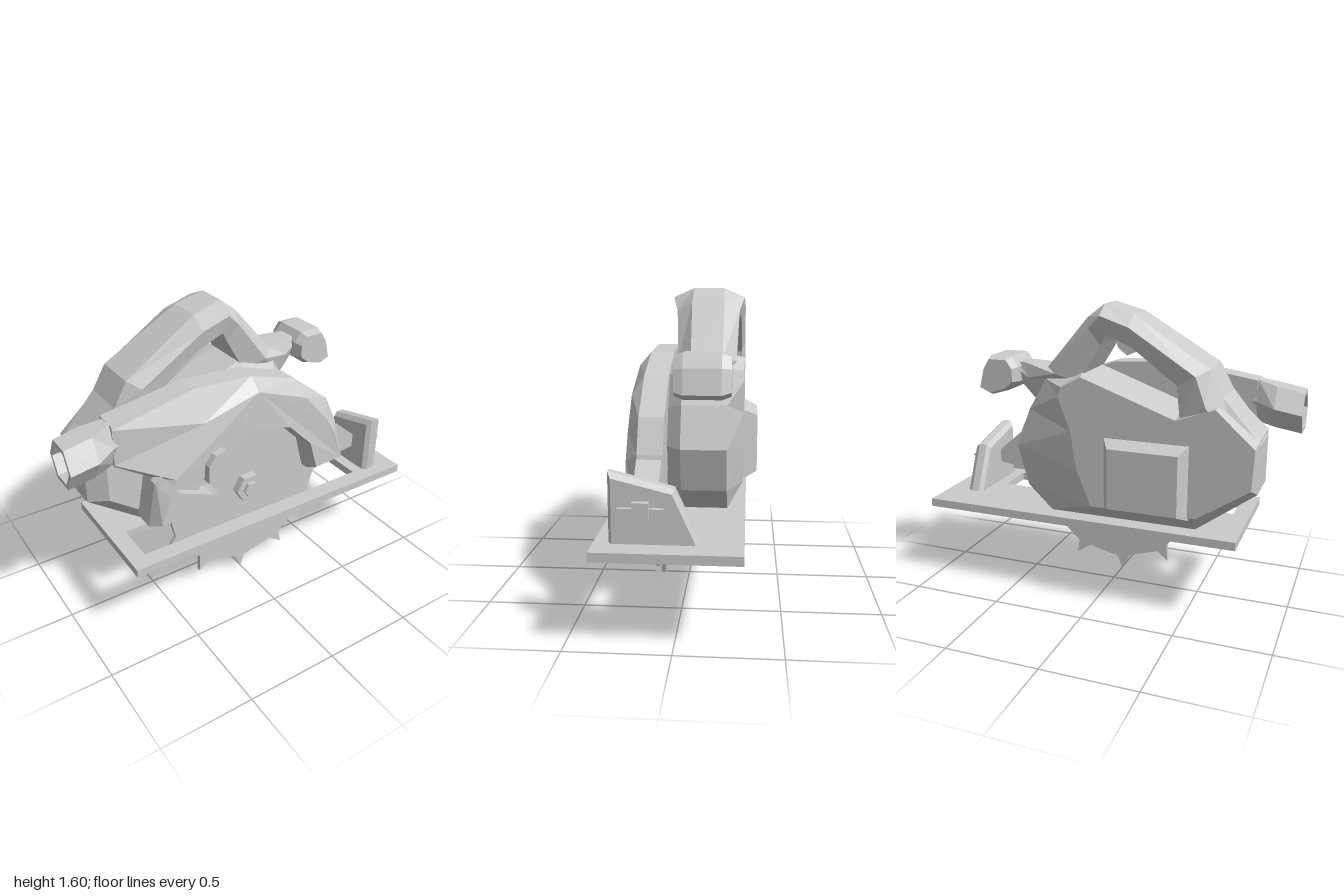
import * as THREE from 'three';

const grey = new THREE.MeshStandardMaterial({ color: 0xcccccc, flatShading: true, side: THREE.DoubleSide });

// Joins rings of equal point count; optional caps triangulated in xy
function skin(rings, capped = true) {
  const pos = [], n = rings[0].length;
  const tri = (a, b, c) => pos.push(...a, ...b, ...c);
  for (let r = 0; r < rings.length - 1; r++) {
    for (let i = 0; i < n; i++) {
      const j = (i + 1) % n, a = rings[r], b = rings[r + 1];
      tri(a[i], a[j], b[j]);
      tri(a[i], b[j], b[i]);
    }
  }
  if (capped) {
    [rings[0], rings[rings.length - 1]].forEach((ring, end) => {
      const flat = ring.map(p => new THREE.Vector2(p[0], p[1]));
      for (const [a, b, c] of THREE.ShapeUtils.triangulateShape(flat, [])) {
        if (end) tri(ring[a], ring[b], ring[c]); else tri(ring[a], ring[c], ring[b]);
      }
    });
  }
  // Turn inside-out results around using the signed volume
  const o = new THREE.Vector3(...rings[0][0]);
  const v = k => new THREE.Vector3(pos[k], pos[k + 1], pos[k + 2]).sub(o);
  let volume = 0;
  for (let k = 0; k < pos.length; k += 9) volume += v(k).dot(v(k + 3).cross(v(k + 6)));
  if (volume < 0) {
    for (let k = 0; k < pos.length; k += 9) {
      for (let m = 0; m < 3; m++) [pos[k + 3 + m], pos[k + 6 + m]] = [pos[k + 6 + m], pos[k + 3 + m]];
    }
  }
  const g = new THREE.BufferGeometry();
  g.setAttribute('position', new THREE.Float32BufferAttribute(pos, 3));
  g.computeVertexNormals();
  return g;
}

// Puts an xy outline at depth z (a point may carry its own z)
const at = (outline, z) => outline.map(p => [p[0], p[1], p[2] ?? z]);
// Shrinks an outline towards a centre
const shrink = (outline, cx, cy, s) => outline.map(([x, y]) => [cx + (x - cx) * s, cy + (y - cy) * s]);

function extrude(points, z0, z1, holes = []) {
  const shape = new THREE.Shape(points.map(p => new THREE.Vector2(...p)));
  holes.forEach(h => shape.holes.push(new THREE.Path(h.map(p => new THREE.Vector2(...p)))));
  return new THREE.ExtrudeGeometry(shape, { depth: z1 - z0, bevelEnabled: false }).translate(0, 0, z0);
}

const rect = (x0, y0, x1, y1) => [[x0, y0], [x1, y0], [x1, y1], [x0, y1]];

export function createModel() {
  const model = new THREE.Group();
  const add = (name, geometry) => {
    const mesh = new THREE.Mesh(geometry, grey);
    mesh.name = name;
    model.add(mesh);
    return mesh;
  };
  const cx = 0.03, cy = 0.57;
  const polar = (deg, r) => [cx + r * Math.cos(deg * Math.PI / 180), cy + r * Math.sin(deg * Math.PI / 180)];

  // Base plate with the blade slot
  add('basePlate', extrude(rect(-0.76, -0.37, 1, 0.315), 0.425, 0.47, [rect(-0.67, -0.28, 0.72, -0.06)])
    .rotateX(-Math.PI / 2));

  // Toothed blade
  const teeth = [];
  for (let k = 0; k < 12; k++) {
    const a = -93 + 30 * k;
    teeth.push(polar(a - 6, 0.485), polar(a, 0.57), polar(a + 2.5, 0.495));
  }
  add('blade', extrude(teeth, 0.135, 0.16));
  for (const [name, r, z] of [['bladeWasher', 0.085, 0.18], ['bladeBolt', 0.047, 0.2]]) {
    add(name, new THREE.CylinderGeometry(r, r, 0.05, 6).rotateX(Math.PI / 2).rotateZ(Math.PI / 6 * 3 - Math.PI / 2)
      .rotateZ(Math.PI / 6).translate(cx, cy, z));
  }

  // Upper blade guard: chamfered arch over the blade
  const arch = (r, y) => [180, 150, 120, 90, 60, 30, 0].map(d => {
    const p = polar(d, r);
    return [p[0], Math.max(p[1], y)];
  });
  const outer = [[0.68, 0.57], [0.61, 0.82], [0.53, 0.99], [0.3, 1.17], [0.02, 1.26], [-0.32, 1.28],
    [-0.76, 1.21], [-0.76, 0.99], [-0.55, 0.85], [-0.6, 0.57]];
  const front = [[0.63, 0.6, 0.26], [0.56, 0.78, 0.265], [0.49, 0.9, 0.265], [0.34, 1.07, 0.265], [0.03, 1.19, 0.265],
    [-0.3, 1.12, 0.28], [-0.76, 1.19, 0.21], [-0.76, 1.0, 0.21], [-0.47, 0.85, 0.28], [-0.56, 0.6, 0.28]];
  add('bladeGuard', skin([
    at([...outer, ...arch(0.39, 0.57)], 0.08),
    at([...outer, ...arch(0.39, 0.57)], 0.205),
    at([...front, ...arch(0.41, 0.6)], 0.27),
  ]));
  add('guardBack', extrude(arch(0.44, 0.57).reverse(), 0.085, 0.12));

  // Hollow six-sided dust outlet
  const hex = (x, y, hy, hz) => [[1, 0], [0.5, 1], [-0.5, 1], [-1, 0], [-0.5, -1], [0.5, -1]]
    .map(([a, b]) => [x, y + b * hy, 0.147 + a * hz]);
  add('dustOutlet', skin([hex(-0.7, 1.1, 0.1, 0.06), hex(-0.76, 1.1, 0.108, 0.075), hex(-0.86, 1.08, 0.107, 0.13),
    hex(-1, 1.055, 0.105, 0.125), hex(-1, 1.055, 0.083, 0.1), hex(-0.8, 1.08, 0.083, 0.09),
    hex(-0.8, 1.08, 0.001, 0.001)], false));

  // Motor housing, built in slices from back to front
  const housing = [[-0.84, 0.98], [-0.84, 0.7], [-0.53, 0.47], [0.28, 0.47], [0.42, 0.6], [0.48, 0.82],
    [0.4, 1.03], [0.3, 1.2], [0.09, 1.26], [-0.43, 1.07], [-0.65, 1.15]];
  const backFace = [[-0.83, 0.95], [-0.82, 0.74], [-0.55, 0.56], [0.02, 0.55], [0.1, 0.75], [0.13, 0.95],
    [0.2, 1.13], [0.18, 1.18], [0.07, 1.24], [-0.43, 1.06], [-0.63, 1.13]];
  add('motorHousing', skin([at(backFace, -0.3), at(housing, -0.22), at(housing, 0.01),
    at(shrink(housing, -0.1, 0.85, 0.88), 0.085)]));

  // Raised panel on the back of the motor
  add('motorPanel', skin([at(rect(-0.47, 0.58, -0.1, 0.9), -0.375), at(rect(-0.51, 0.54, -0.05, 0.94), -0.29)]));

  // Handle loop: outer x, y, inner x, y, back z, front z, chamfer
  const stations = [
    [-0.845, 0.96, -0.6, 0.82, -0.29, 0.02, 0.05], [-0.65, 1.18, -0.45, 1.05, -0.3, 0.07, 0.06],
    [-0.58, 1.31, -0.43, 1.23, -0.3, 0.08, 0.07], [-0.18, 1.555, -0.2, 1.4, -0.3, 0.085, 0.1],
    [-0.02, 1.6, -0.06, 1.46, -0.295, 0.085, 0.11], [0.07, 1.53, -0.02, 1.4, -0.27, 0.06, 0.08],
    [0.3, 1.26, 0.1, 1.2, -0.26, 0.04, 0.07], [0.44, 1.27, 0.36, 1.06, -0.2, -0.02, 0.03],
    [0.5, 1.27, 0.48, 1.16, -0.17, -0.05, 0.02],
  ];
  add('handle', skin(stations.map(([ox, oy, ix, iy, z0, z1, c]) => {
    const mx = ox + (ix - ox) * 0.35, my = oy + (iy - oy) * 0.35;
    return [[ox, oy, z0 + c], [ox, oy, z1 - c], [mx, my, z1], [ix, iy, z1 - 0.02], [ix, iy, z0 + 0.02], [mx, my, z0]];
  }), false));
  add('trigger', extrude([[-0.2, 1.37], [-0.13, 1.34], [-0.08, 1.38], [-0.06, 1.47], [-0.2, 1.46]], -0.16, -0.05));

  // Front grip knob
  const knob = [[0.7, 1.12], [0.67, 1.24], [0.63, 1.305], [0.51, 1.305], [0.47, 1.25], [0.47, 1.17], [0.53, 1.12], [0.63, 1.09]];
  const knobEnd = shrink(knob, 0.59, 1.2, 0.85);
  add('frontKnob', skin([at(knobEnd, -0.245), at(knob, -0.2), at(knob, -0.02), at(knobEnd, 0.022)]));

  // Curled lever of the lower guard
  add('guardLever', extrude([[-0.585, 0.86], [-0.5, 0.76], [-0.27, 0.66], [-0.23, 0.67], [-0.205, 0.74], [-0.24, 0.84],
    [-0.22, 0.885], [-0.17, 0.89], [-0.2, 0.95], [-0.26, 0.935], [-0.3, 0.88], [-0.3, 0.78], [-0.25, 0.72],
    [-0.28, 0.71], [-0.47, 0.79], [-0.545, 0.89]], 0.22, 0.313));

  // Depth bracket standing at the front end, with bevelled faces
  const bracket = [[0.12, 0.46], [-0.3, 0.46], [-0.3, 0.8], [-0.0, 0.725]];
  const bevel = shrink(bracket, -0.1, 0.46, 0.92);
  add('depthBracket', skin([at(bevel, 0.785), at(bracket, 0.81), at(bracket, 0.855), at(bevel, 0.88)])
    .rotateY(Math.PI / 2));

  // Tapered link from guard to bracket
  add('guardLink', skin([at([[0.6, 0.58], [0.76, 0.6], [0.76, 0.68], [0.62, 0.8]], 0.085),
    at([[0.6, 0.58], [0.76, 0.6], [0.76, 0.68], [0.62, 0.8]], 0.205)]));

  // Wing nut clamp
  const box = (name, w, h, d, x) => add(name, new THREE.BoxGeometry(w, h, d).translate(x, 0.64, 0.145));
  box('clampBolt', 0.2, 0.04, 0.04, 0.82);
  box('clampNut', 0.035, 0.075, 0.075, 0.92);
  box('clampWings', 0.025, 0.014, 0.21, 0.91);
  return model;
}
